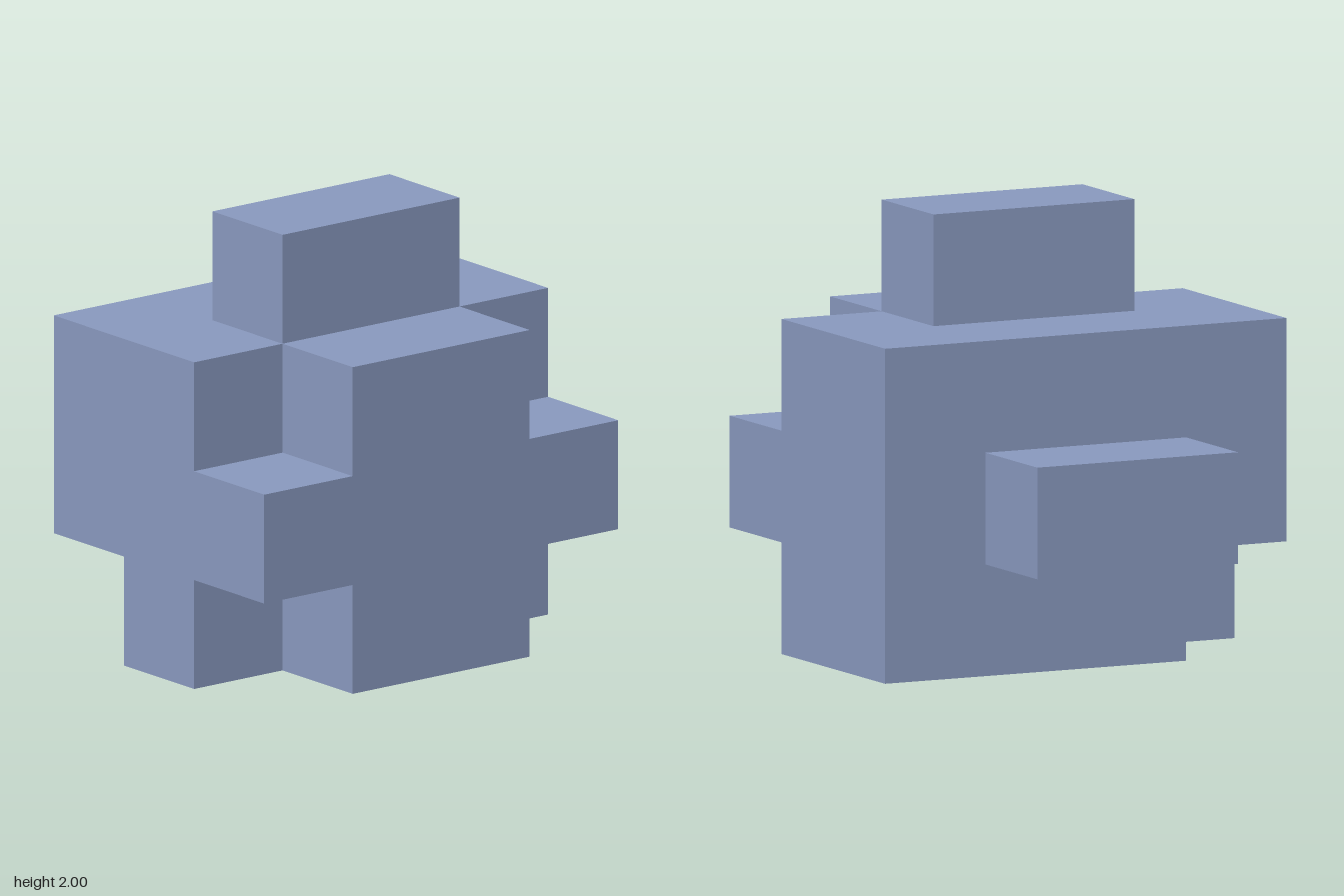
import * as THREE from 'three';

export function createModel() {
  const group = new THREE.Group();
  const slateBlue = new THREE.MeshStandardMaterial({ color: 0x8a9ac0 });
  slateBlue.name = 'slateBlue';

  const add = (name, geometry, x, y, z) => {
    const mesh = new THREE.Mesh(geometry, slateBlue);
    mesh.name = name;
    mesh.position.set(x, y, z);
    group.add(mesh);
    return mesh;
  };
  const outline = (points) => new THREE.Shape(points.map(([x, y]) => new THREE.Vector2(x, y)));
  const extrude = (points) =>
    new THREE.ExtrudeGeometry(outline(points), { depth: 0.5, bevelEnabled: false });

  // Main body: full block above a base with one rear corner cut away (-x, -z)
  add('bodyBlock', new THREE.BoxGeometry(2, 1, 1), 0, 1, 0);
  // Footprint is drawn as (x, -z), then laid flat so it extrudes upward
  const base = extrude([[-1, -0.5], [1, -0.5], [1, 0.5], [-0.5, 0.5], [-0.5, 0], [-1, 0]]);
  base.rotateX(-Math.PI / 2);
  add('notchedBase', base, 0, 0, 0);

  // Cross-shaped front plate
  add('frontCross', extrude([
    [-0.5, 0], [0.5, 0], [0.5, 0.5], [1, 0.5], [1, 1], [0.5, 1],
    [0.5, 1.5], [-0.5, 1.5], [-0.5, 1], [-1, 1], [-1, 0.5], [-0.5, 0.5],
  ]), 0, 0, 0.5);

  // Bars on top and at the back
  add('topBar', new THREE.BoxGeometry(1, 0.5, 0.5), 0, 1.75, 0.25);
  add('backBar', new THREE.BoxGeometry(1, 0.5, 0.5), 0, 0.75, -0.75);

  return group;
}
